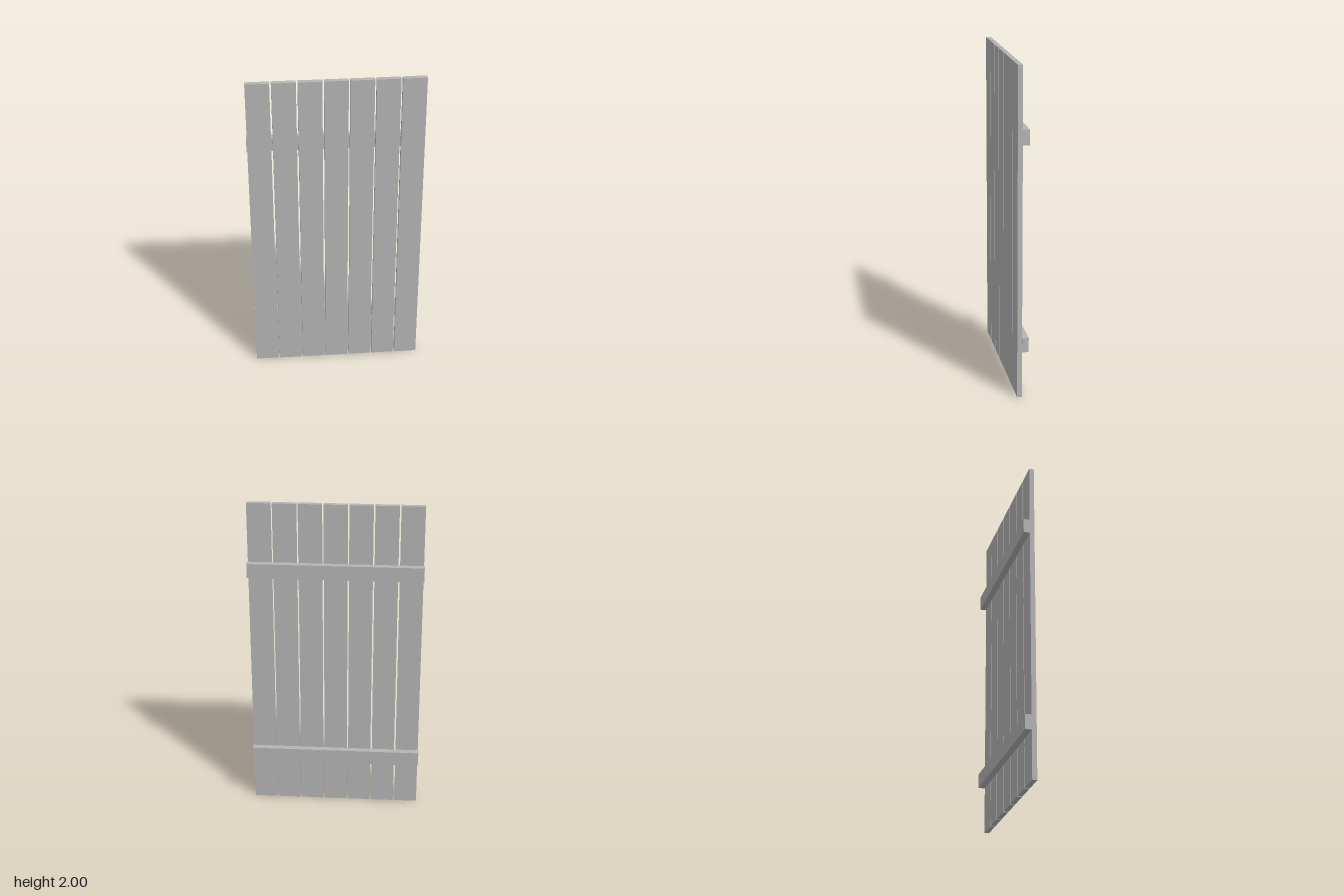
import * as THREE from 'three';

export function createModel() {
  const group = new THREE.Group();
  group.name = 'plankShutter';
  const grey = new THREE.MeshStandardMaterial({ color: 0xb4b4b4 });
  grey.name = 'plainGrey';

  const addBox = (name, [w, h, d], [x, y, z]) => {
    const mesh = new THREE.Mesh(new THREE.BoxGeometry(w, h, d), grey);
    mesh.name = name;
    mesh.position.set(x, y, z);
    group.add(mesh);
  };

  // depth layout: planks in front, rails touching them from behind
  const halfDepth = 0.034, seam = 0.005;

  // seven upright planks with narrow gaps
  const count = 7, plankWidth = 0.141, pitch = 0.1507;
  const plankDepth = halfDepth - seam;
  for (let i = 0; i < count; i++) {
    const x = (i - (count - 1) / 2) * pitch;
    addBox(`plank${i + 1}`, [plankWidth, 2, plankDepth], [x, 1, seam + plankDepth / 2]);
  }

  // two cross rails on the back
  const railDepth = halfDepth + seam;
  for (const [name, y] of [['lowerRail', 0.334], ['upperRail', 1.589]]) {
    addBox(name, [1.054, 0.09, railDepth], [0, y, -halfDepth + railDepth / 2]);
  }

  return group;
}
